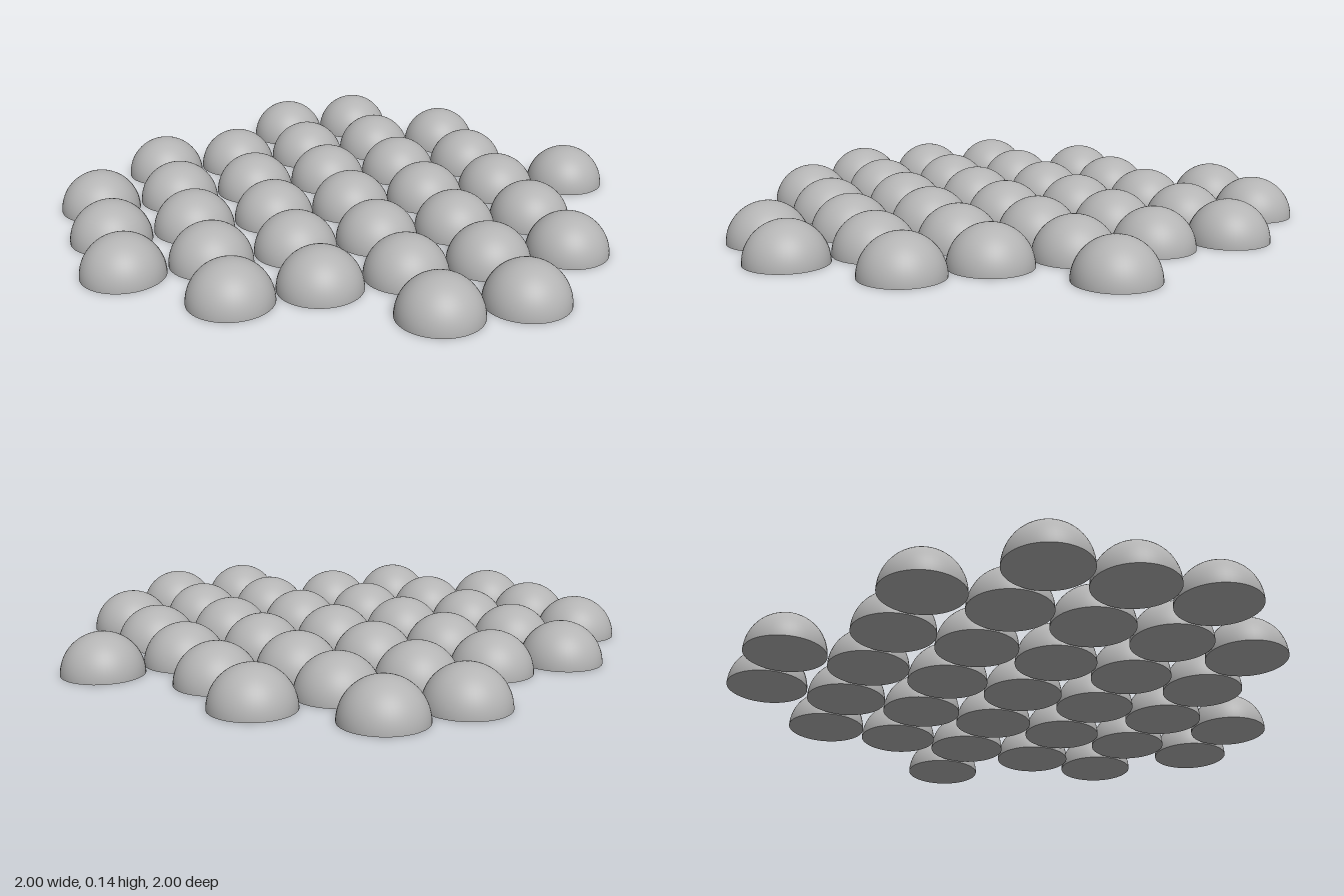
import * as THREE from 'three';

const RADIUS = 0.14;
const SPACING = (2 - 2 * RADIUS) / 6;

// First and last column of each row, from back to front
const ROWS = [[0, 1], [-2, 2], [-3, 2], [-3, 3], [-3, 2], [-2, 2], [0, 1]];

export function createModel() {
  const model = new THREE.Group();
  model.name = 'domeArray';
  const grey = new THREE.MeshStandardMaterial({ color: 0xb4b4b4 });
  grey.name = 'grey';

  // Upper half of a sphere, closed below by a flat disc
  const domeGeometry = new THREE.SphereGeometry(RADIUS, 48, 16, 0, Math.PI * 2, 0, Math.PI / 2);
  const baseGeometry = new THREE.CircleGeometry(RADIUS, 48).rotateX(Math.PI / 2);

  ROWS.forEach(([first, last], row) => {
    for (let column = first; column <= last; column++) {
      const hemisphere = new THREE.Group();
      hemisphere.name = 'hemisphere';
      const dome = new THREE.Mesh(domeGeometry, grey);
      dome.name = 'dome';
      const base = new THREE.Mesh(baseGeometry, grey);
      base.name = 'flatBase';
      hemisphere.add(dome, base);
      hemisphere.position.set(column * SPACING, 0, (row - 3) * SPACING);
      model.add(hemisphere);
    }
  });
  return model;
}
